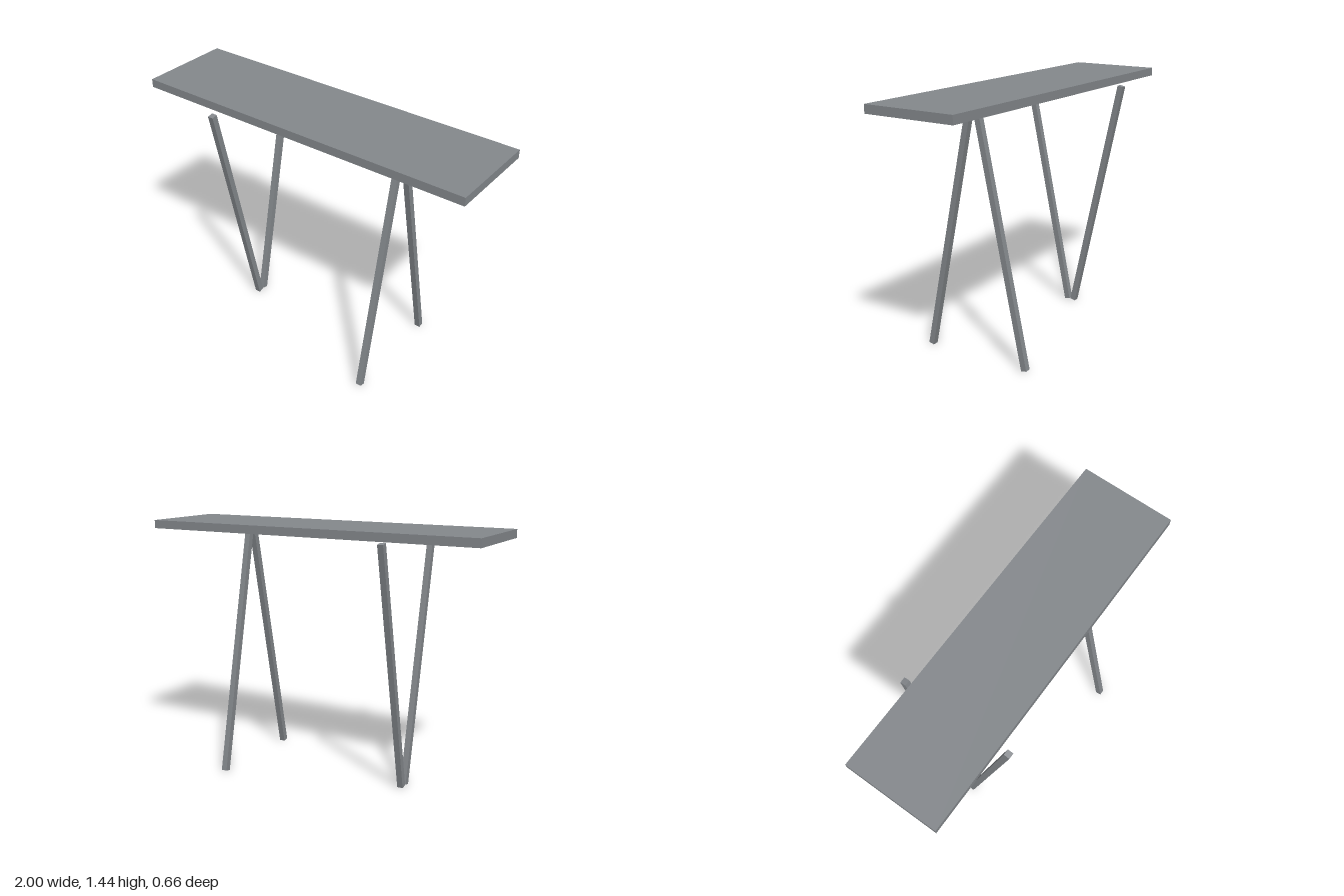
import * as THREE from 'three';

export function createModel() {
  const model = new THREE.Group();
  model.name = 'trestleTable';
  const grey = new THREE.MeshStandardMaterial({ color: 0x84888c });
  grey.name = 'grey';

  // Tabletop slab
  const top = new THREE.Mesh(new THREE.BoxGeometry(2, 0.047, 0.533), grey);
  top.name = 'tabletop';
  top.position.y = 1.4165;
  model.add(top);

  // Two pairs of splayed legs: one pair meets at the floor, the other at the top
  const legGeometry = new THREE.BoxGeometry(0.0333, 1.417, 0.0333);
  const tilt = THREE.MathUtils.degToRad(12);
  for (const side of [-1, 1]) {
    const pair = new THREE.Group();
    pair.name = side < 0 ? 'rightLegPair' : 'leftLegPair';
    pair.position.x = side * 0.5;
    for (const end of [-1, 1]) {
      const leg = new THREE.Mesh(legGeometry, grey);
      leg.name = end < 0 ? 'backLeg' : 'frontLeg';
      leg.position.set(0, 0.6965, end * 0.167);
      leg.rotation.x = -side * end * tilt;
      pair.add(leg);
    }
    model.add(pair);
  }
  return model;
}
